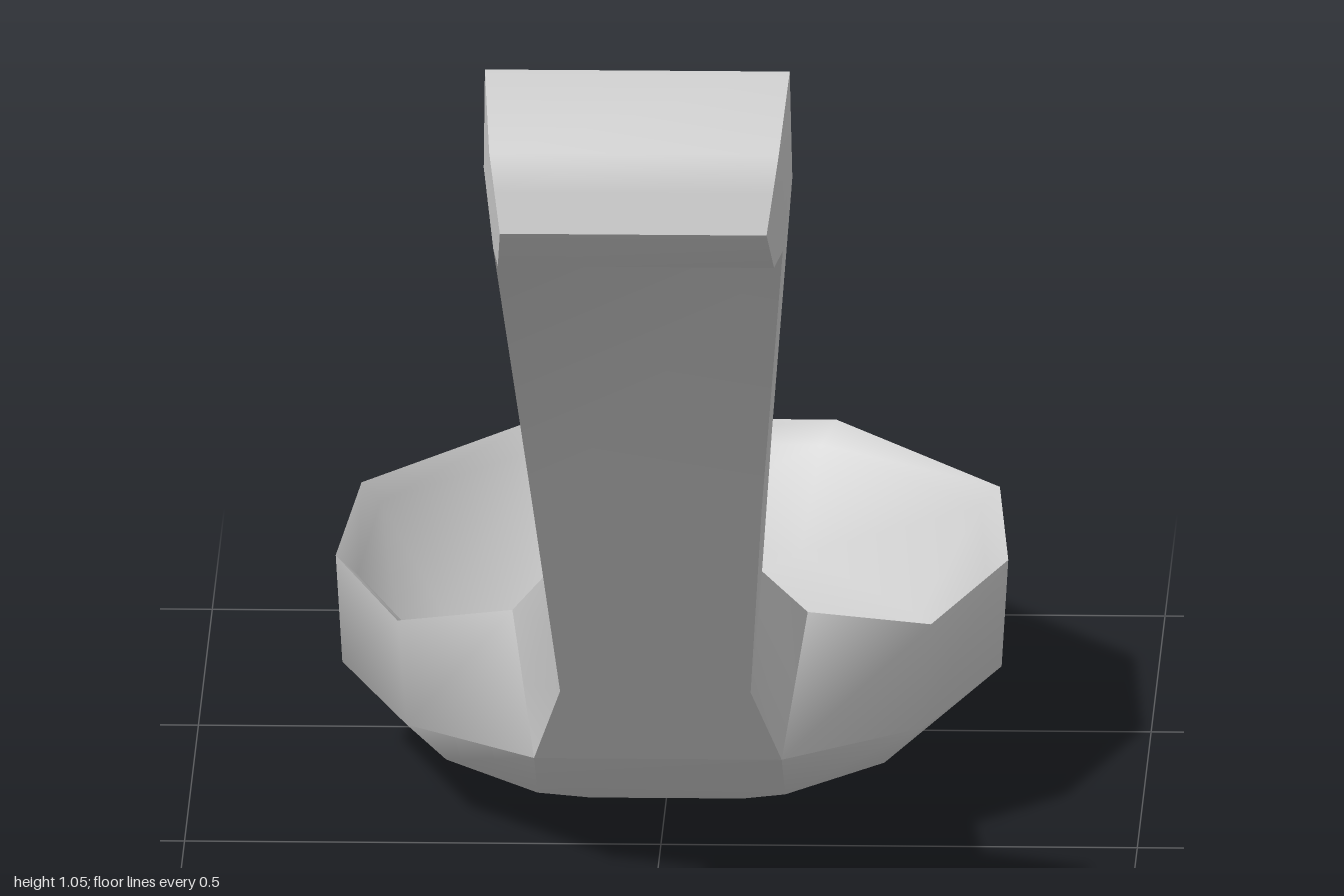
import * as THREE from 'three';
import { toCreasedNormals } from 'three/addons/utils/BufferGeometryUtils.js';

// Mirror a +x half outline into a closed loop.
const mirrored = (half) => [...half, ...half.slice().reverse().map(([x, y, z]) => [-x, y, z])];

// Skin a series of mirrored loops, with optional fan caps.
function loft(halves, capStart, capEnd, crease) {
  const loops = halves.map(mirrored);
  const n = loops[0].length;
  const pos = [];
  const tri = (a, b, c) => pos.push(...a, ...b, ...c);
  const centre = (loop) => [0, 1, 2].map((k) => loop.reduce((s, p) => s + p[k], 0) / n);
  for (let s = 0; s < loops.length - 1; s++) {
    const a = loops[s], b = loops[s + 1];
    for (let i = 0; i < n; i++) {
      const j = (i + 1) % n;
      tri(a[i], b[i], a[j]);
      tri(a[j], b[i], b[j]);
    }
  }
  const first = loops[0], last = loops[loops.length - 1];
  for (let i = 0; i < n; i++) {
    const j = (i + 1) % n;
    if (capStart) tri(centre(first), first[i], first[j]);
    if (capEnd) tri(centre(last), last[j], last[i]);
  }
  const geo = new THREE.BufferGeometry();
  geo.setAttribute('position', new THREE.Float32BufferAttribute(pos, 3));
  return toCreasedNormals(geo, crease);
}

export function createModel() {
  const group = new THREE.Group();
  group.name = 'spoon';
  const material = new THREE.MeshStandardMaterial({ color: 0xcccccc, side: THREE.DoubleSide });
  const add = (name, geo) => {
    const mesh = new THREE.Mesh(geo, material);
    mesh.name = name;
    group.add(mesh);
  };

  // Bowl: rings from the flat underside, up to the rim, then down inside.
  add('bowl', loft([
    [[0.08, 0, -0.7], [0.17, 0, -0.62], [0.18, 0, -0.42], [0.14, 0, -0.25], [0.08, 0, -0.2]],
    [[0.13, 0.06, -0.86], [0.27, 0.06, -0.67], [0.3, 0.06, -0.41], [0.23, 0.05, -0.16], [0.13, 0.05, -0.02]],
    [[0.15, 0.16, -1], [0.332, 0.11, -0.715], [0.346, 0.095, -0.4], [0.27, 0.1, -0.11], [0.13, 0.12, 0.11]],
    [[0.155, 0.21, -1], [0.335, 0.21, -0.715], [0.353, 0.21, -0.4], [0.28, 0.21, -0.12], [0.155, 0.26, 0.03]],
    [[0.14, 0.19, -0.97], [0.315, 0.19, -0.71], [0.33, 0.19, -0.4], [0.26, 0.19, -0.13], [0.145, 0.2, 0.01]],
    [[0.12, 0.09, -0.9], [0.25, 0.08, -0.68], [0.28, 0.08, -0.41], [0.2, 0.08, -0.18], [0.12, 0.09, -0.06]],
    [[0.07, 0.05, -0.72], [0.14, 0.05, -0.62], [0.16, 0.05, -0.42], [0.12, 0.05, -0.27], [0.07, 0.05, -0.22]],
  ], true, true, 1.2));

  // Handle: stations of [top width, top y, top z, bottom width, bottom y, bottom z, side bulge].
  const stations = [
    [0.155, 0.26, 0.03, 0.13, 0.12, 0.11, 0],
    [0.1, 0.36, 0.21, 0.1, 0.215, 0.2, 0.008],
    [0.125, 0.65, 0.48, 0.12, 0.485, 0.49, 0.008],
    [0.155, 1.0, 0.79, 0.152, 0.85, 0.825, 0.008],
    [0.16, 1.05, 0.85, 0.145, 0.85, 0.9, 0.008],
    [0.152, 0.99, 0.97, 0.14, 0.91, 1, 0],
  ];
  add('handle', loft(stations.map(([tw, ty, tz, bw, by, bz, bulge]) => [
    [tw, ty, tz],
    [(tw + bw) / 2 + bulge, (ty + by) / 2, (tz + bz) / 2],
    [bw, by, bz],
  ]), false, true, 1.0));

  return group;
}
